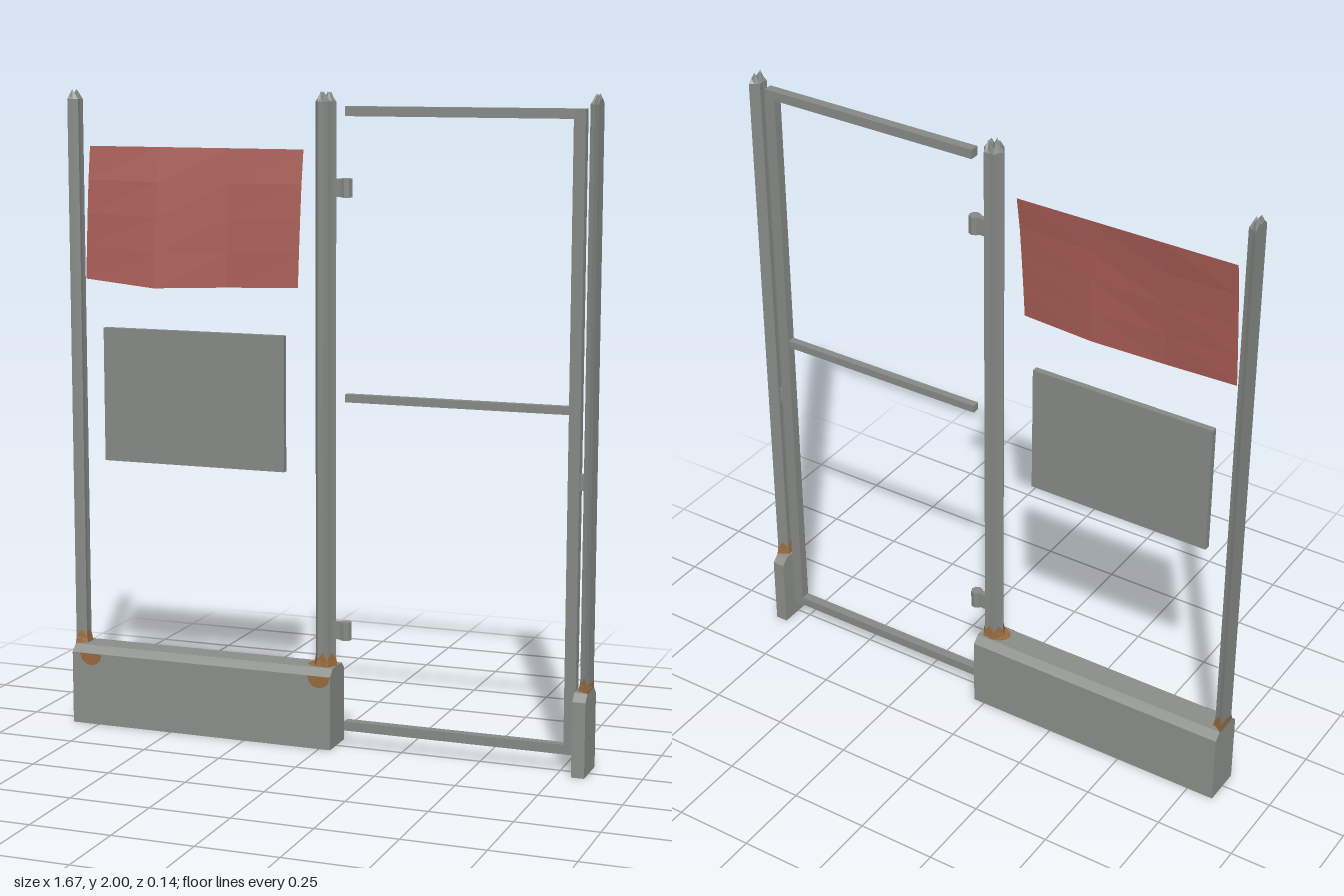
import * as THREE from 'three';

const mat = (name, color, side = THREE.FrontSide) =>
  Object.assign(new THREE.MeshStandardMaterial({ color, side, flatShading: true }), { name });

const ZC = -0.0065; // depth of the fence line
const END = 0.837; // outer ends, where the end posts are cut in half

export function createModel() {
  const concrete = mat('concrete', 0x8a8d87);
  const metal = mat('weathered metal', 0x858885);
  const rust = mat('rust', 0x96693f, THREE.DoubleSide);
  const cloth = mat('faded red cloth', 0xa85c55, THREE.DoubleSide);

  const root = new THREE.Group();
  root.name = 'fenceWithGate';
  const add = (name, geo, material, x = 0, y = 0, z = 0) => {
    const m = new THREE.Mesh(geo, material);
    m.name = name;
    m.position.set(x, y, z);
    root.add(m);
    return m;
  };
  const box = (name, material, x0, x1, y0, y1, z0, z1) =>
    add(name, new THREE.BoxGeometry(x1 - x0, y1 - y0, z1 - z0), material,
      (x0 + x1) / 2, (y0 + y1) / 2, (z0 + z1) / 2);

  // Concrete plinths with chamfered top edges
  const plinth = (name, x0, x1) => {
    const s = new THREE.Shape([
      [-0.0625, 0], [0.0625, 0], [0.0625, 0.23], [0.04, 0.252], [-0.04, 0.252], [-0.0625, 0.23],
    ].map(p => new THREE.Vector2(...p)));
    const g = new THREE.ExtrudeGeometry(s, { depth: x1 - x0, bevelEnabled: false });
    g.rotateY(Math.PI / 2);
    add(name, g, concrete, x0, 0, ZC);
  };
  plinth('wallBase', -END, 0.037);
  plinth('gatePostBase', 0.797, END);

  // Fluted column: rings are [scale, height, extra drop on the ribs]
  const fluted = (rings, start, steps) => {
    const closed = steps === 12;
    const count = closed ? 12 : steps + 1;
    const point = ([s, y, drop = 0], i) => {
      const k = i % count;
      const a = start + (k * Math.PI) / 6;
      const r = (k % 2 ? 0.027 : 0.033) * s;
      return [Math.cos(a) * r, y - (k % 2 ? 0 : drop), Math.sin(a) * r];
    };
    const pos = [];
    for (let j = 0; j + 1 < rings.length; j++) {
      for (let i = 0; i < count; i++) {
        const a = point(rings[j], i), b = point(rings[j + 1], i);
        const c = point(rings[j + 1], i + 1), d = point(rings[j], i + 1);
        if (rings[j + 1][0] > 0) pos.push(...a, ...b, ...c);
        pos.push(...a, ...c, ...d);
      }
    }
    const g = new THREE.BufferGeometry();
    g.setAttribute('position', new THREE.Float32BufferAttribute(pos, 3));
    g.computeVertexNormals();
    return g;
  };
  const post = (name, x, start, steps) => {
    const shaft = [[1, 0.24], [1, 1.97], [0.6, 2, 0.018], [0, 1.98]];
    const collar = [[1.2, 0.25], [1.1, 0.27, 0.006], [1.03, 0.295, 0.02]];
    add(name, fluted(shaft, start, steps), metal, x, 0, ZC);
    add(name + 'RustCollar', fluted(collar, start, steps), rust, x, 0, ZC);
  };
  post('middlePost', 0, 0, 12);
  post('rightEndPost', -END, -Math.PI / 2, 6);
  post('leftEndPost', END, Math.PI / 2, 6);

  // Rust stains running down the plinth face and lying on its top
  const stain = (x, r) => add('rustStain', new THREE.CircleGeometry(r, 6, Math.PI, Math.PI),
    rust, x, 0.23, ZC + 0.0645);
  stain(-0.772, 0.038);
  stain(0, 0.037);
  const topStain = new THREE.CircleGeometry(0.058, 8, Math.PI / 2, Math.PI);
  topStain.rotateX(-Math.PI / 2).scale(1, 1, 0.68);
  add('topRustStain', topStain, rust, 0, 0.2535, ZC);

  // Open gate frame: three rails and one stile
  box('gateStile', metal, 0.76, 0.795, 0.053, 1.957, -0.021, 0.009);
  box('gateTopRail', metal, 0.066, 0.76, 1.928, 1.957, -0.021, 0.009);
  box('gateMiddleRail', metal, 0.066, 0.76, 1.074, 1.098, -0.018, 0.006);
  box('gateBottomRail', metal, 0.066, 0.76, 0.053, 0.082, -0.021, 0.009);
  box('gateLatch', metal, 0.792, 0.812, 0.853, 0.9, -0.016, 0.004);

  // Hinges on the middle post
  for (const y of [0.365, 1.716]) {
    box('hingePlate', metal, 0.028, 0.06, y - 0.027, y + 0.027, -0.015, 0.003);
    add('hingeKnuckle', new THREE.CylinderGeometry(0.019, 0.019, 0.056, 8), metal, 0.065, y, ZC);
  }

  // Sign board
  box('signBoard', metal, -0.72, -0.12, 0.853, 1.27, 0.017, 0.037);

  // Hanging cloth: straight top, wavy lower edge pushed forward
  const banner = new THREE.PlaneGeometry(1, 1, 3, 4);
  const p = banner.attributes.position;
  const hemY = [1.422, 1.402, 1.411, 1.419];
  const hemZ = [0.05, 0.069, 0.05, 0.058];
  for (let i = 0; i < p.count; i++) {
    const col = Math.round((p.getX(i) + 0.5) * 3);
    const t = 0.5 - p.getY(i);
    p.setXYZ(i, -0.77 + col * 0.235,
      THREE.MathUtils.lerp(1.828, hemY[col], t),
      THREE.MathUtils.lerp(0.01, hemZ[col], t ** 0.75));
  }
  banner.computeVertexNormals();
  add('clothBanner', banner, cloth);

  return root;
}
